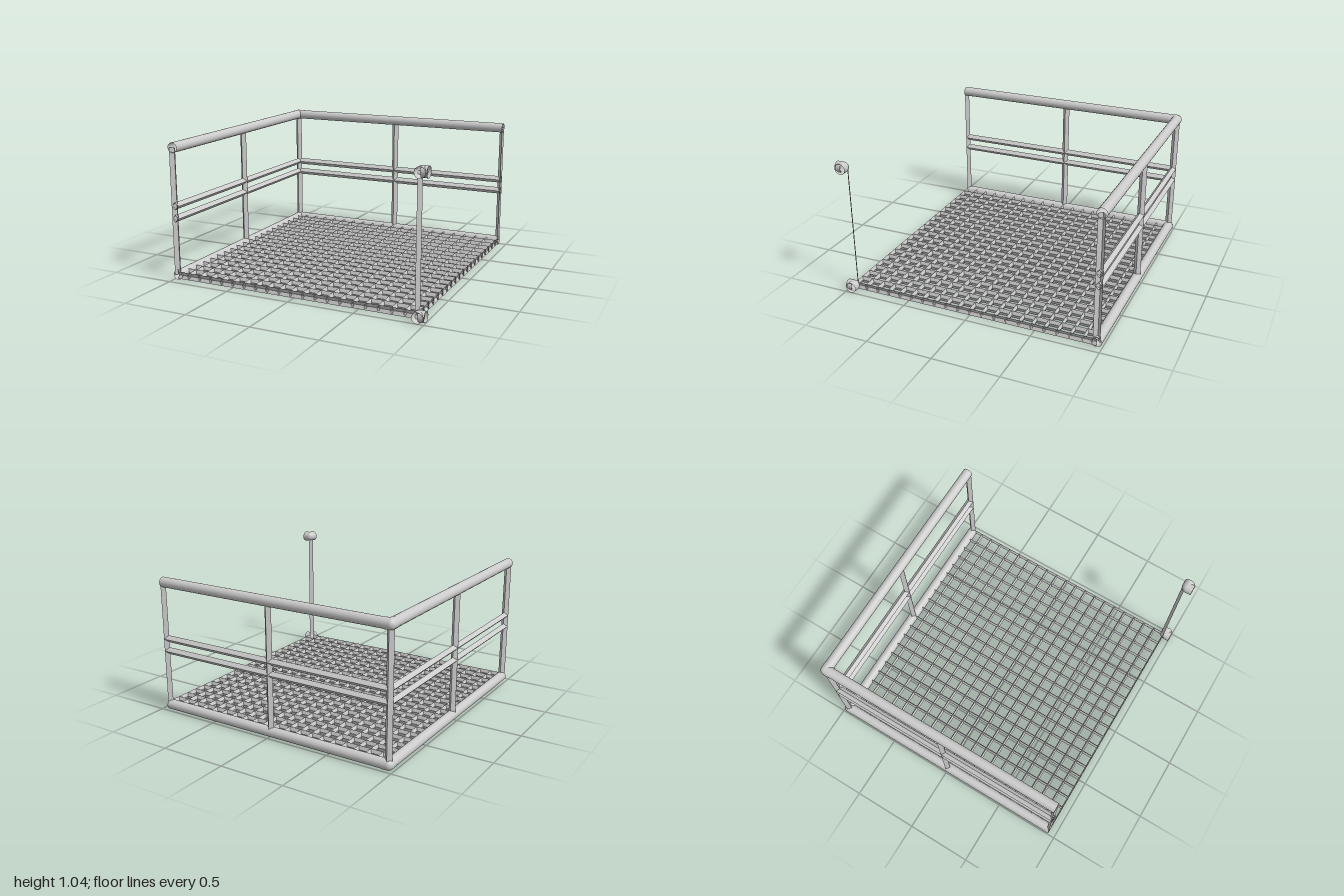
import * as THREE from 'three';

const MIN = -0.96, MAX = 0.945;       // corner axis and the open edge of the tile
const MID = (MIN + MAX) / 2, LEN = MAX - MIN;
const LOW = 0.04, HIGH = 1.0;         // axis heights of the bottom and top rails
const RAIL_R = 0.038, ELBOW_R = 0.04, BAR_R = 0.027;
const TAU = Math.PI * 2;

const smooth = new THREE.MeshStandardMaterial({ color: 0xcccccc, side: THREE.DoubleSide });
const faceted = new THREE.MeshStandardMaterial({ color: 0xcccccc, side: THREE.DoubleSide, flatShading: true });

function add(parent, name, geometry, material, x, y, z) {
  const mesh = new THREE.Mesh(geometry, material);
  mesh.name = name;
  mesh.position.set(x, y, z);
  parent.add(mesh);
  return mesh;
}

// Open tube centred on the origin, running along the given axis
function tube(axis, radius, length, sides, start = 0, sweep = TAU, squash = 1) {
  const g = new THREE.CylinderGeometry(radius, radius, length, sides, 1, true, start, sweep);
  if (axis === 'x') g.scale(1, 1, squash).rotateZ(Math.PI / 2);
  if (axis === 'z') g.scale(squash, 1, 1).rotateX(Math.PI / 2);
  return g;
}

// Hollow corner fitting with mouths toward +x and +z and a rounded back
function elbow(x, y, z) {
  const g = new THREE.Group();
  const reach = 0.047;
  g.name = 'cornerElbow';
  add(g, 'elbowSleeveX', tube('x', ELBOW_R, reach, 20), smooth, reach / 2, 0, 0);
  add(g, 'elbowSleeveZ', tube('z', ELBOW_R, reach, 20), smooth, 0, 0, reach / 2);
  add(g, 'elbowBend', new THREE.SphereGeometry(ELBOW_R, 6, 12, Math.PI * 1.5, Math.PI / 2), smooth, 0, 0, 0);
  g.position.set(x, y, z);
  return g;
}

export function createModel() {
  const model = new THREE.Group();
  model.name = 'railedPlatform';

  // Round rails along the back and one side, with corner fittings
  for (const y of [LOW, HIGH]) {
    const level = y === LOW ? 'bottom' : 'top';
    add(model, level + 'RailBack', tube('x', RAIL_R, LEN, 20), smooth, MID, y, MIN);
    add(model, level + 'RailSide', tube('z', RAIL_R, LEN, 20), smooth, MIN, y, MID);
    model.add(elbow(MIN, y, MIN), elbow(0.953, y, 0.953));
  }

  // Paired diamond-section middle rails
  for (const y of [0.473, 0.567]) {
    add(model, 'middleRailBack', tube('x', BAR_R, LEN, 4), faceted, MID, y, MIN);
    add(model, 'middleRailSide', tube('z', BAR_R, LEN, 4), faceted, MIN, y, MID);
  }

  // Diamond posts: whole inside, split where they meet the open edges
  const post = (name, x, z, sides = 4, start = 0) =>
    add(model, name, tube('y', BAR_R, HIGH - LOW, sides, start, sides * Math.PI / 2),
      faceted, x, (LOW + HIGH) / 2, z);
  post('cornerPost', MIN, MIN);
  post('middlePostBack', MID, MIN);
  post('middlePostSide', MIN, MID);
  post('endPostBack', MAX, MIN, 2, Math.PI);
  post('endPostSide', MIN, MAX, 2, Math.PI / 2);
  post('freeCornerPost', MAX, MAX, 1, Math.PI);

  // Floor grating of narrow diamond bars, halved at the open edges
  const grating = new THREE.Group();
  grating.name = 'floorGrating';
  model.add(grating);
  const COUNT = 20, SQUASH = 0.4;
  for (let i = 1; i <= COUNT; i++) {
    const p = MIN + LEN * i / COUNT;
    const sides = i === COUNT ? 2 : 4;
    const sweep = sides * Math.PI / 2;
    add(grating, 'gratingBarX', tube('x', BAR_R, LEN, sides, Math.PI / 2, sweep, SQUASH), faceted, MID, LOW, p);
    add(grating, 'gratingBarZ', tube('z', BAR_R, LEN, sides, Math.PI, sweep, SQUASH), faceted, p, LOW, MID);
  }

  return model;
}
